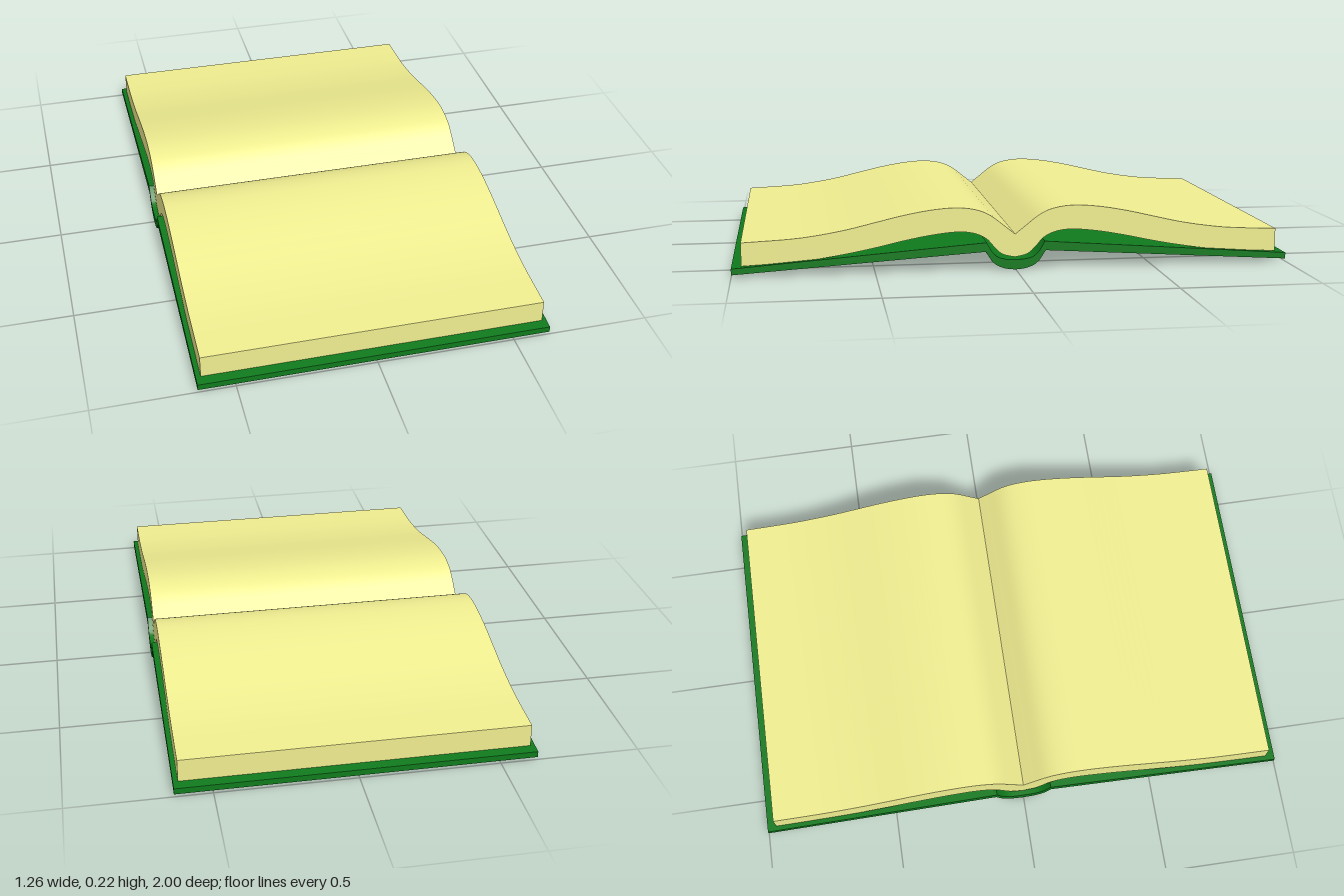
import * as THREE from 'three';
import { toCreasedNormals } from 'three/addons/utils/BufferGeometryUtils.js';

const vectors = (pairs) => pairs.map(([z, y]) => new THREE.Vector2(z, y));
const smooth = (pairs, n) => new THREE.SplineCurve(vectors(pairs)).getPoints(n);

// Closes a half profile (top and bottom edges, from the gutter outwards)
// with its mirror image, then extrudes it along x.
function mirroredSlab(name, top, bottom, width, color) {
  const flip = (p) => new THREE.Vector2(-p.x, p.y);
  const outline = [
    ...bottom,
    ...top.slice().reverse(),
    ...top.slice(1).map(flip),
    ...bottom.slice(1).reverse().map(flip),
  ];
  let geometry = new THREE.ExtrudeGeometry(new THREE.Shape(outline), {
    depth: width, bevelEnabled: false,
  });
  geometry.translate(0, 0, -width / 2);
  geometry.rotateY(-Math.PI / 2);
  geometry = toCreasedNormals(geometry, 0.5);
  const mesh = new THREE.Mesh(geometry, new THREE.MeshStandardMaterial({ color }));
  mesh.name = name;
  return mesh;
}

export function createModel() {
  const book = new THREE.Group();
  book.name = 'openBook';

  // Page block: two waves meeting in a sharp gutter
  const pageTop = smooth([
    [0, 0.125], [0.04, 0.157], [0.09, 0.195], [0.14, 0.216], [0.21, 0.225],
    [0.3, 0.219], [0.4, 0.202], [0.5, 0.179], [0.6, 0.156], [0.7, 0.139],
    [0.8, 0.128], [0.965, 0.12],
  ], 44);
  const pageBottom = smooth([
    [0, 0.042], [0.045, 0.053], [0.075, 0.08], [0.105, 0.112], [0.15, 0.132],
    [0.21, 0.138], [0.3, 0.129], [0.4, 0.111], [0.5, 0.089], [0.6, 0.07],
    [0.7, 0.055], [0.8, 0.046], [0.965, 0.037],
  ], 48);
  book.add(mirroredSlab('pages', pageTop, pageBottom, 1.23, 0xf0ee90));

  // Cover: rounded spine trough and two boards sloping outwards
  const coverTop = [
    ...smooth([[0, 0.036], [0.035, 0.038], [0.065, 0.047], [0.085, 0.065]], 12),
    ...vectors([[0.105, 0.1], [1, 0.032]]),
  ];
  const coverBottom = [
    ...smooth([[0, 0], [0.035, 0.004], [0.065, 0.015], [0.085, 0.031]], 12),
    ...vectors([[0.108, 0.067], [1, 0.01]]),
  ];
  book.add(mirroredSlab('cover', coverTop, coverBottom, 1.265, 0x0f7a1c));

  return book;
}
